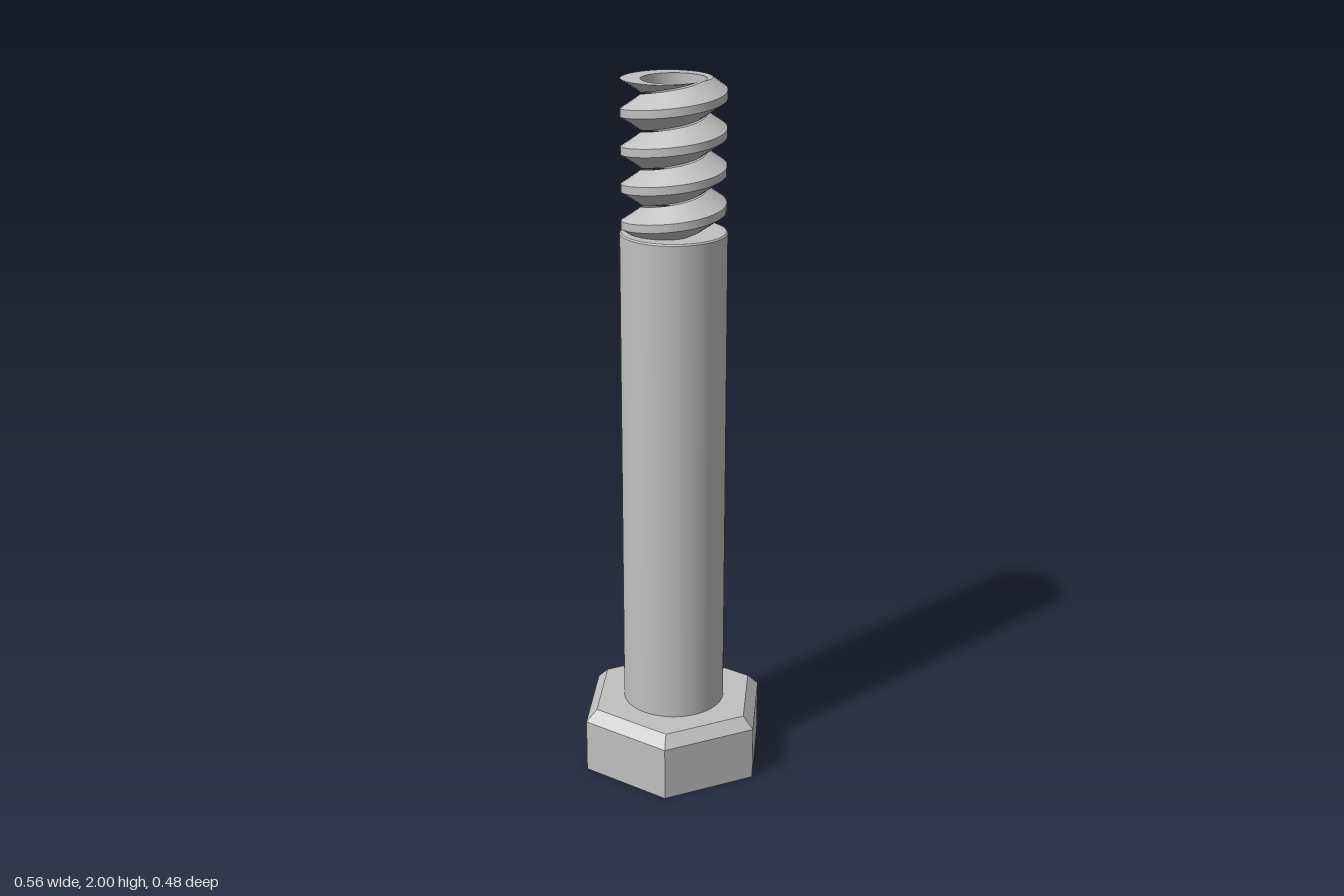
import * as THREE from 'three';

const TOP = 2, PITCH = 0.1, ROOT = 0.088, CREST = 0.142;
const ROOT_HALF = 0.048, CREST_HALF = 0.011;

// Thread cross-section [radius, y] around height c, trimmed flat at the bolt tip
function threadSection(c) {
  const pts = [[ROOT, c - ROOT_HALF], [CREST, c - CREST_HALF], [CREST, c + CREST_HALF], [ROOT, c + ROOT_HALF]];
  const [rootLow, crestLow, crestHigh, rootHigh] = pts;
  if (crestLow[1] > TOP) {
    const k = Math.max(0, (TOP - rootLow[1]) / (crestLow[1] - rootLow[1]));
    const r = ROOT + (CREST - ROOT) * k;
    crestLow[0] = crestHigh[0] = r;
  }
  // where the upper flank pierces the tip, a fifth corner keeps the cut flat
  let cutRadius = crestHigh[0];
  if (crestHigh[1] < TOP) {
    const k = Math.min(1, (TOP - crestHigh[1]) / (rootHigh[1] - crestHigh[1]));
    cutRadius = CREST + (ROOT - CREST) * k;
  }
  const cut = [cutRadius, Math.min(TOP, rootHigh[1])];
  for (const p of pts) p[1] = Math.min(p[1], TOP);
  return [rootLow, crestLow, crestHigh, cut, rootHigh];
}

// One helical strip between two corners of the section
function threadStrip(i, j) {
  const steps = 48, turns = 5.5, n = Math.round(steps * turns);
  const pos = [], idx = [];
  for (let s = 0; s <= n; s++) {
    const a = (s / steps) * Math.PI * 2;
    const section = threadSection(1.568 + PITCH * s / steps);
    for (const [r, y] of [section[i], section[j]]) pos.push(r * Math.cos(a), y, -r * Math.sin(a));
    if (s < n) {
      const b = s * 2;
      idx.push(b, b + 2, b + 1, b + 1, b + 2, b + 3);
    }
  }
  const g = new THREE.BufferGeometry();
  g.setAttribute('position', new THREE.Float32BufferAttribute(pos, 3));
  g.setIndex(idx);
  g.computeVertexNormals();
  return g;
}

export function createModel() {
  const model = new THREE.Group();
  model.name = 'hexBolt';
  const steel = new THREE.MeshStandardMaterial({ color: 0xc0c0c0, side: THREE.DoubleSide });
  steel.name = 'steel';

  const add = (parent, name, geometry, y = 0) => {
    const mesh = new THREE.Mesh(geometry, steel);
    mesh.name = name;
    mesh.position.y = y;
    parent.add(mesh);
  };
  const hex = (top, bottom, h, open) =>
    new THREE.CylinderGeometry(top, bottom, h, 6, 1, open).rotateY(Math.PI / 6).toNonIndexed();

  // Hexagonal head with a bevelled upper rim
  const head = new THREE.Group();
  head.name = 'head';
  const body = hex(0.28, 0.28, 0.157);
  const bevel = hex(0.246, 0.28, 0.033);
  body.computeVertexNormals();
  bevel.computeVertexNormals();
  add(head, 'headBody', body, 0.0785);
  add(head, 'headBevel', bevel, 0.1735);
  model.add(head);

  // Smooth shank with a fine chamfer
  add(model, 'shank', new THREE.CylinderGeometry(0.146, 0.146, 1.402, 64), 0.887);
  add(model, 'shankChamfer', new THREE.CylinderGeometry(0.142, 0.146, 0.004, 64), 1.59);

  // Hollow helical thread, one strip per section edge
  const thread = new THREE.Group();
  thread.name = 'thread';
  const names = ['lowerFlank', 'crest', 'upperFlank', 'tipFlat', 'innerWall'];
  names.forEach((name, i) => add(thread, name, threadStrip(i, (i + 1) % 5)));
  model.add(thread);

  return model;
}
